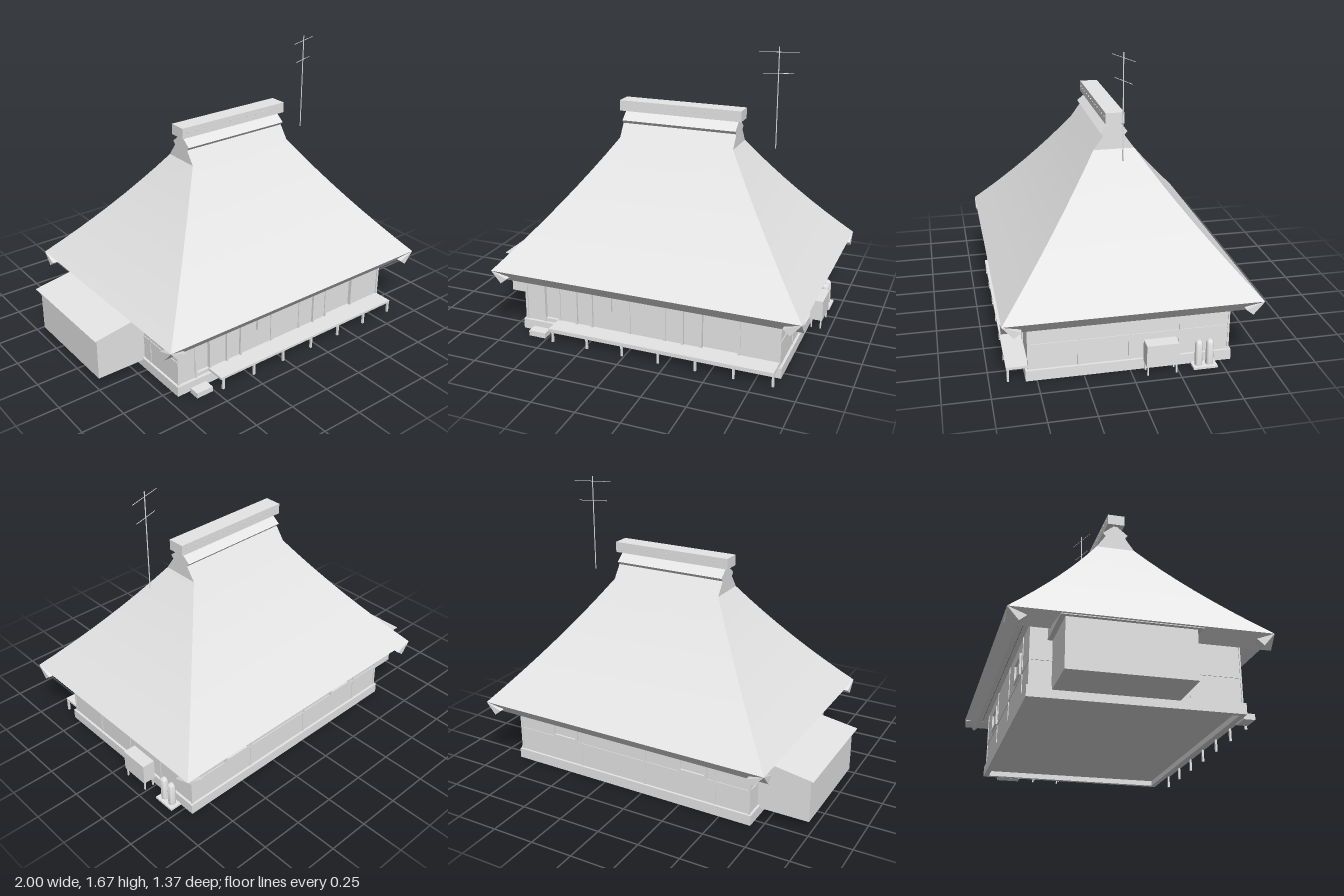
import * as THREE from 'three';
import { toCreasedNormals } from 'three/addons/utils/BufferGeometryUtils.js';

const plaster = new THREE.MeshStandardMaterial({ color: 0xe6e6e6 });
plaster.name = 'pale grey';
const CX = 0.0925; // middle of the house along x

export function createModel() {
  const model = new THREE.Group();
  model.name = 'thatchedFarmhouse';

  const add = (name, geometry, parent = model) => {
    const mesh = new THREE.Mesh(geometry, plaster);
    mesh.name = name;
    parent.add(mesh);
    return mesh;
  };
  const group = (name) => {
    const g = new THREE.Group();
    g.name = name;
    model.add(g);
    return g;
  };
  // box given by its limits on each axis
  const box = (name, x0, x1, y0, y1, z0, z1, parent) => {
    const m = add(name, new THREE.BoxGeometry(x1 - x0, y1 - y0, z1 - z0), parent);
    m.position.set((x0 + x1) / 2, (y0 + y1) / 2, (z0 + z1) / 2);
    return m;
  };
  // profile of [outward, y] points extruded over a length, facing a given angle
  const prism = (name, points, length, angle, parent) => {
    const shape = new THREE.Shape(points.map(([a, b]) => new THREE.Vector2(a, b)));
    const geo = new THREE.ExtrudeGeometry(shape, { depth: length, bevelEnabled: false });
    geo.translate(0, 0, -length / 2);
    const m = add(name, geo, parent);
    m.rotation.y = angle;
    return m;
  };
  // four-sided skin through rectangular rings [halfX, y, halfZ]
  const skin = (name, rings, parent) => {
    const pos = [];
    const corner = ([hx, y, hz], k) =>
      [CX + hx * [-1, 1, 1, -1][k % 4], y, hz * [1, 1, -1, -1][k % 4]];
    for (let i = 0; i < rings.length - 1; i++) {
      for (let k = 0; k < 4; k++) {
        const a = corner(rings[i], k), b = corner(rings[i], k + 1);
        const c = corner(rings[i + 1], k + 1), d = corner(rings[i + 1], k);
        pos.push(...a, ...b, ...c, ...a, ...c, ...d);
      }
    }
    const geo = new THREE.BufferGeometry();
    geo.setAttribute('position', new THREE.Float32BufferAttribute(pos, 3));
    return add(name, toCreasedNormals(geo, 0.4), parent);
  };

  // thatched roof, slightly hollow hips rising to short gables
  const roof = group('roof');
  const rings = [];
  for (let i = 0; i <= 8; i++) {
    const t = i / 8, inset = t * (1 + 0.15 * (1 - t));
    rings.push([0.9075 - 0.5625 * inset, 0.4 + 0.7 * t, 0.686 - 0.574 * inset]);
  }
  rings.push([0.345, 1.18, 0.055]);
  skin('thatch', rings, roof);
  skin('soffit', [[0.7, 0.455, 0.48], [0.8075, 0.36, 0.585]], roof);

  // thick cut eaves, running full length past each corner
  const eave = [[0, 0.4], [-0.1, 0.362], [-0.06, 0.33]];
  for (const s of [1, -1]) {
    const long = prism('eaveLong', eave, 1.815, -s * Math.PI / 2, roof);
    long.position.set(CX, 0, s * 0.686);
    const short = prism('eaveShort', eave, 1.372, s > 0 ? 0 : Math.PI, roof);
    short.position.set(CX + s * 0.9075, 0, 0);
  }

  // ridge cap, ridge beam and the rods through it
  const ridge = group('ridge');
  prism('ridgeCap', [[-0.055, 1.173], [0.055, 1.173], [0.075, 1.195], [0, 1.255], [-0.075, 1.195]],
    0.69, Math.PI / 2, ridge).position.x = CX;
  box('ridgeBeam', -0.277, 0.462, 1.246, 1.308, -0.051, 0.051, ridge);
  for (let i = 0; i < 12; i++) {
    const rod = add('ridgeRod', new THREE.CylinderGeometry(0.005, 0.005, 0.112, 8), ridge);
    rod.rotation.x = Math.PI / 2;
    rod.position.set(-0.24 + i * 0.0605, 1.282, 0);
  }

  // hollow plinth with the floor set a little above its foot
  const plinth = group('plinth');
  box('floor', -0.68, 0.865, 0.03, 0.058, -0.55, 0.55, plinth);
  for (const s of [1, -1]) {
    box('plinthLong', -0.69, 0.875, 0, 0.06, s * 0.545 - 0.015, s * 0.545 + 0.015, plinth);
    const x = CX + s * 0.7675;
    box('plinthShort', x - 0.015, x + 0.015, 0, 0.06, -0.53, 0.53, plinth);
  }

  // wall core, with front panels that leave the door and window recessed
  box('walls', -0.676, 0.861, 0.058, 0.43, -0.546, 0.525);
  const panels = group('frontPanels');
  for (const [x0, x1] of [[-0.676, -0.55], [-0.465, 0.42], [0.625, 0.861]])
    box('frontPanel', x0, x1, 0.06, 0.43, 0.52, 0.542, panels);
  for (const [x0, x1] of [[-0.55, -0.465], [0.42, 0.625]]) {
    box('panelHead', x0, x1, 0.312, 0.43, 0.52, 0.542, panels);
    box('panelSill', x0, x1, 0.06, 0.082, 0.52, 0.542, panels);
  }

  // timber frame on the four walls
  const frame = group('timberFrame');
  const p = 0.007;
  for (const x of [-0.673, -0.557, -0.458, -0.016, 0.2, 0.413, 0.632, 0.858])
    box('frontPost', x - p, x + p, 0.06, 0.41, 0.54, 0.548, frame);
  for (const x of [-0.345, -0.247, 0.308])
    box('doorStile', x - 0.006, x + 0.006, 0.085, 0.325, 0.54, 0.556, frame);
  box('frontStrut', -0.13, -0.12, 0.2, 0.325, 0.54, 0.556, frame);
  box('frontLintel', -0.005, 0.19, 0.31, 0.323, 0.54, 0.556, frame);
  for (const x of [-0.673, -0.464, -0.016, 0.42, 0.858])
    box('backPost', x - p, x + p, 0.06, 0.41, -0.55, -0.54, frame);
  for (const z of [-0.275, 0, 0.275]) {
    box('leftPost', 0.855, 0.865, 0.06, 0.41, z - p, z + p, frame);
    box('rightPost', -0.68, -0.67, 0.06, 0.41, z - p, z + p, frame);
  }
  box('leftRail', 0.855, 0.865, 0.193, 0.207, -0.548, 0.54, frame);
  box('rightRail', -0.68, -0.67, 0.193, 0.207, -0.548, 0.54, frame);
  box('backRail', -0.67, 0.86, 0.193, 0.207, -0.55, -0.54, frame);

  // framed windows at the back
  for (const x of [0.53, -0.33]) {
    const w = group('backWindow');
    for (const s of [-1, 1]) {
      box('windowJamb', x + s * 0.082 - 0.008, x + s * 0.082 + 0.008, 0.21, 0.325, -0.557, -0.54, w);
      box('windowRail', x - 0.09, x + 0.09, 0.267 + s * 0.05 - 0.008, 0.267 + s * 0.05 + 0.008, -0.557, -0.54, w);
    }
  }

  // veranda deck on short posts, with a step stone
  const veranda = group('veranda');
  box('deck', -0.47, 0.86, 0.07, 0.084, 0.54, 0.66, veranda);
  for (let i = 0; i < 7; i++) {
    const x = -0.45 + i * 0.2175;
    box('verandaPost', x - 0.006, x + 0.006, 0, 0.072, 0.645, 0.657, veranda);
  }
  box('stepStone', -0.615, -0.51, 0, 0.032, 0.573, 0.635, veranda);

  // lean-to with a wedge roof
  const leanTo = group('leanTo');
  box('leanToWalls', -0.978, -0.675, 0.043, 0.305, -0.435, 0.21, leanTo);
  prism('leanToRoof', [[-1, 0.302], [-0.675, 0.302], [-0.675, 0.358], [-1, 0.306]],
    0.695, 0, leanTo).position.z = -0.1125;

  // outdoor unit on legs
  const unit = group('outdoorUnit');
  box('unitCase', 0.88, 0.955, 0.055, 0.178, -0.245, -0.07, unit);
  for (const x of [0.89, 0.945])
    for (const z of [-0.235, -0.08])
      box('unitLeg', x - 0.004, x + 0.004, 0, 0.056, z - 0.004, z + 0.004, unit);

  // gas bottles with rounded shoulders on a slab
  const gas = group('gasBottles');
  box('bottleSlab', 0.877, 0.945, 0, 0.012, -0.465, -0.332, gas);
  const profile = [[0, 0.012], [0.021, 0.012], [0.021, 0.138], [0.016, 0.15], [0.008, 0.157], [0, 0.157]];
  for (const z of [-0.367, -0.428])
    add('gasBottle', toCreasedNormals(new THREE.LatheGeometry(
      profile.map(([r, y]) => new THREE.Vector2(r, y)), 16), 0.9), gas).position.set(0.908, 0, z);

  // aerial mast with two cross arms
  const aerial = group('aerial');
  const mast = add('mast', new THREE.CylinderGeometry(0.003, 0.003, 0.57, 8), aerial);
  mast.position.set(0.65, 1.387, 0);
  for (const [y, length] of [[1.643, 0.22], [1.526, 0.168]]) {
    const arm = add('crossArm', new THREE.BoxGeometry(length, 0.0025, 0.0025), aerial);
    arm.position.set(0.65, y, 0);
    arm.rotation.y = 0.33;
  }
  return model;
}
